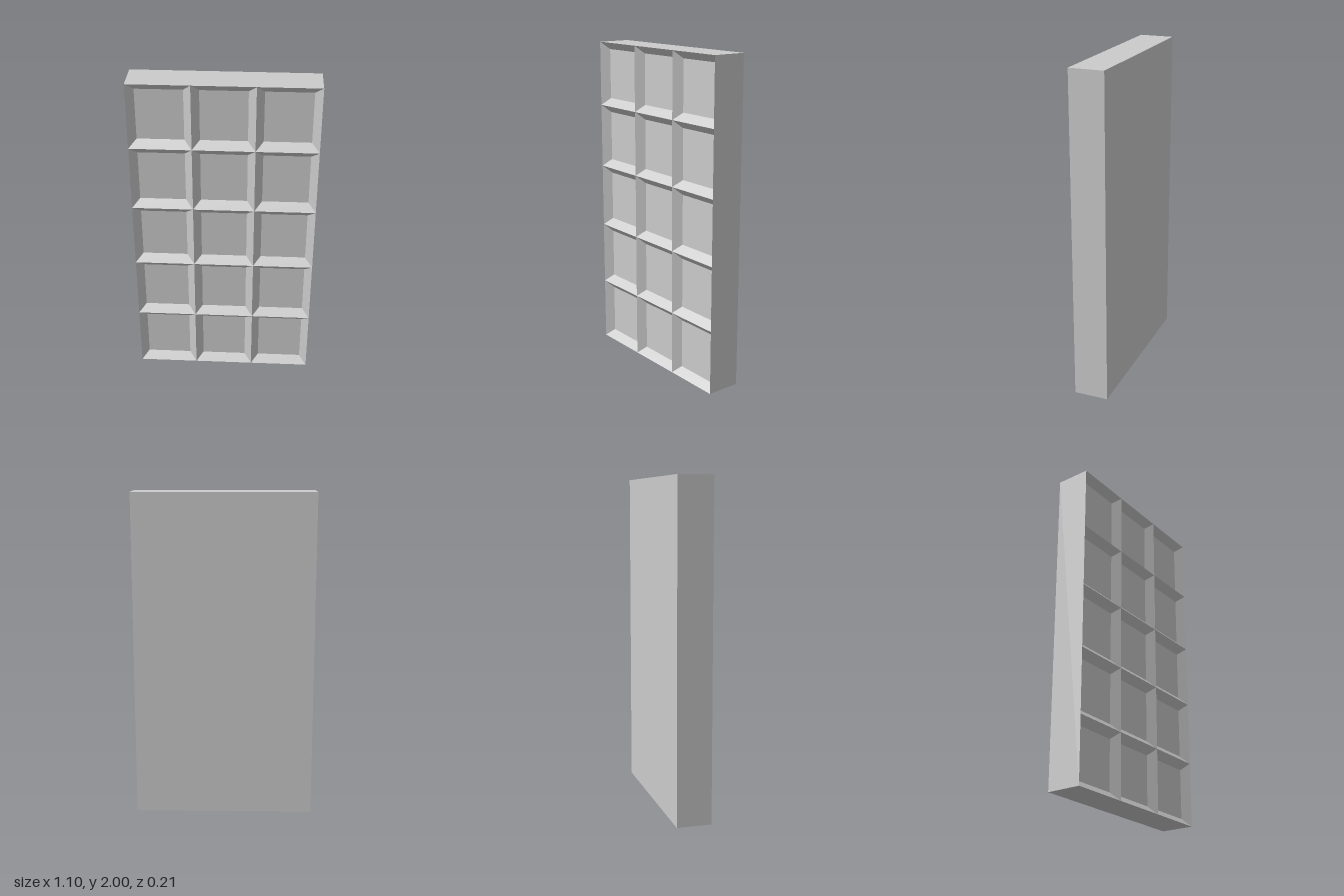
import * as THREE from 'three';

const W = 1.1, H = 2, D = 0.21;   // panel size
const COLS = 3, ROWS = 5;
const SLOPE = 0.045, DEPTH = 0.045; // bevel width and recess depth

const material = new THREE.MeshStandardMaterial({ color: 0xcccccc, flatShading: true });

// Flat-shaded mesh from quads, each with corners counter-clockwise from outside
function quadMesh(name, quads) {
  const points = quads.flatMap(([a, b, c, d]) => [a, b, c, a, c, d]).flat();
  const geometry = new THREE.BufferGeometry();
  geometry.setAttribute('position', new THREE.Float32BufferAttribute(points, 3));
  geometry.computeVertexNormals();
  const mesh = new THREE.Mesh(geometry, material);
  mesh.name = name;
  return mesh;
}

// Rectangle in the xy plane, counter-clockwise seen from the front
const ring = (w, h, z) => [[-w, -h, z], [w, -h, z], [w, h, z], [-w, h, z]];

// Four walls joining ring a to ring b
const walls = (a, b) => a.map((p, i) => [p, a[(i + 1) % 4], b[(i + 1) % 4], b[i]]);

export function createModel() {
  const model = new THREE.Group();
  model.name = 'cofferedPanel';

  // Outer sides and plain back; the coffers close the front
  const back = ring(W / 2, H / 2, -D / 2);
  const front = ring(W / 2, H / 2, D / 2);
  const body = quadMesh('panelBody', [...walls(back, front), [...back].reverse()]);
  body.position.y = H / 2;
  model.add(body);

  // Grid of square coffers with sloping walls and a sunken floor
  const cw = W / COLS, ch = H / ROWS;
  const rim = ring(cw / 2, ch / 2, 0);
  const floor = ring(cw / 2 - SLOPE, ch / 2 - SLOPE, -DEPTH);
  const coffer = quadMesh('coffer', [...walls(rim, floor), floor]);
  for (let row = 0; row < ROWS; row++) {
    for (let col = 0; col < COLS; col++) {
      const cell = coffer.clone();
      cell.position.set((col + 0.5) * cw - W / 2, (row + 0.5) * ch, D / 2);
      model.add(cell);
    }
  }
  return model;
}
